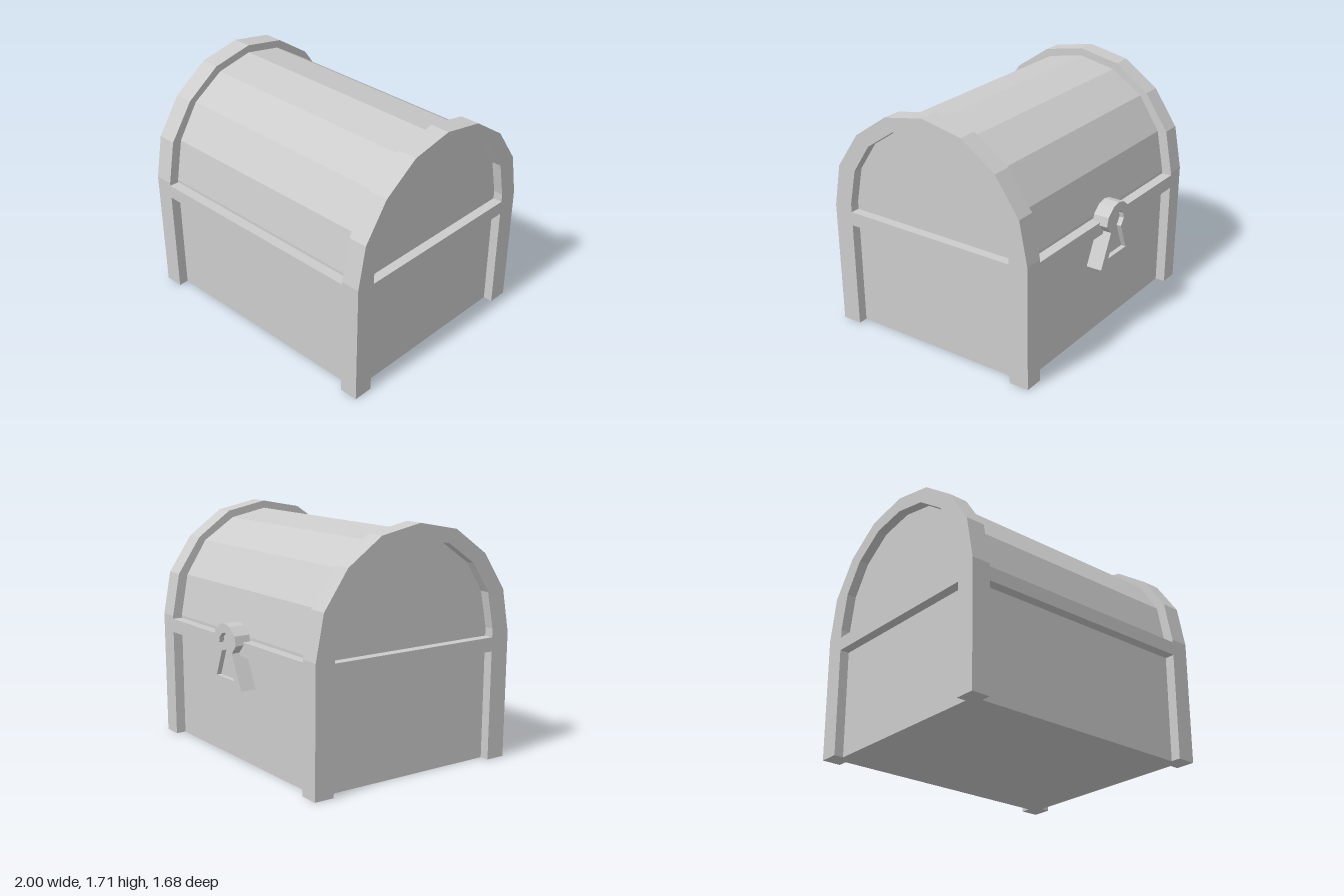
import * as THREE from 'three';

const HEIGHT = 1.71;
const CENTER_Z = 0.03;

// Mirror a half outline (listed bottom to apex, last point on the axis)
function mirrored(half) {
  const left = half.slice(0, -1).reverse().map(([u, y]) => [-u, y]);
  return [...half, ...left].map(([u, y]) => new THREE.Vector2(u, y));
}

// The chest widens slightly towards the top
function taper(geometry) {
  const p = geometry.attributes.position;
  for (let i = 0; i < p.count; i++) {
    p.setX(i, p.getX(i) * (0.98 + 0.02 * p.getY(i) / HEIGHT));
  }
  geometry.computeVertexNormals();
  return geometry;
}

// Extrude an end-on outline along x between x0 and x1
function extrudeAlongX(shape, x0, x1) {
  const g = new THREE.ExtrudeGeometry(shape, { depth: x1 - x0, bevelEnabled: false });
  g.rotateY(Math.PI / 2);
  g.translate(x0, 0, CENTER_Z);
  return taper(g);
}

export function createModel() {
  const chest = new THREE.Group();
  chest.name = 'chest';
  const grey = new THREE.MeshStandardMaterial({ color: 0xcccccc, flatShading: true });
  grey.name = 'light grey';

  const add = (name, geometry, parent = chest) => {
    const mesh = new THREE.Mesh(geometry, grey);
    mesh.name = name;
    parent.add(mesh);
    return mesh;
  };

  // Recessed body and faceted lid
  const core = mirrored([
    [0.737, 0], [0.737, 0.9], [0.68, 1.2], [0.52, 1.445], [0.28, 1.6], [0, 1.655],
  ]);
  add('bodyAndLid', extrudeAlongX(new THREE.Shape(core), -0.93, 0.93));

  // End frames: legs, cross rail and arch
  const frame = new THREE.Shape(mirrored([
    [0.665, 0.78], [0.665, 0], [0.81, 0], [0.81, 0.9], [0.75, 1.21],
    [0.57, 1.47], [0.31, 1.65], [0, HEIGHT],
  ]));
  frame.holes.push(new THREE.Path(mirrored([
    [0.665, 0.88], [0.665, 0.94], [0.61, 1.2], [0.47, 1.41], [0.25, 1.56], [0, 1.605],
  ])));
  add('leftEndFrame', extrudeAlongX(frame, 0.86, 1));
  add('rightEndFrame', extrudeAlongX(frame, -1, -0.86));

  // Long rails at the lid seam
  for (const [name, side] of [['frontRail', 1], ['backRail', -1]]) {
    const g = new THREE.BoxGeometry(1.74, 0.1, 0.11);
    g.translate(0, 0.83, CENTER_Z + side * 0.755);
    add(name, taper(g));
  }

  // Keyhole plate on the back
  const lock = new THREE.Group();
  lock.name = 'lock';
  chest.add(lock);
  const outline = mirrored([
    [0.205, 0.56], [0.09, 0.8], [0.145, 0.86], [0.13, 0.925], [0.065, 0.98], [0, 0.995],
  ]);
  const keyhole = mirrored([
    [0.115, 0.615], [0.04, 0.8], [0.075, 0.85], [0.067, 0.89], [0.035, 0.92], [0, 0.93],
  ]);
  const rim = new THREE.Shape(outline);
  rim.holes.push(new THREE.Path(keyhole));
  const rimGeometry = new THREE.ExtrudeGeometry(rim, { depth: 0.115, bevelEnabled: false });
  rimGeometry.translate(0, 0, -0.84);
  add('lockRim', rimGeometry, lock);
  const backing = new THREE.ExtrudeGeometry(new THREE.Shape(keyhole), { depth: 0.08, bevelEnabled: false });
  backing.translate(0, 0, -0.805);
  add('keyholeBacking', backing, lock);

  return chest;
}
